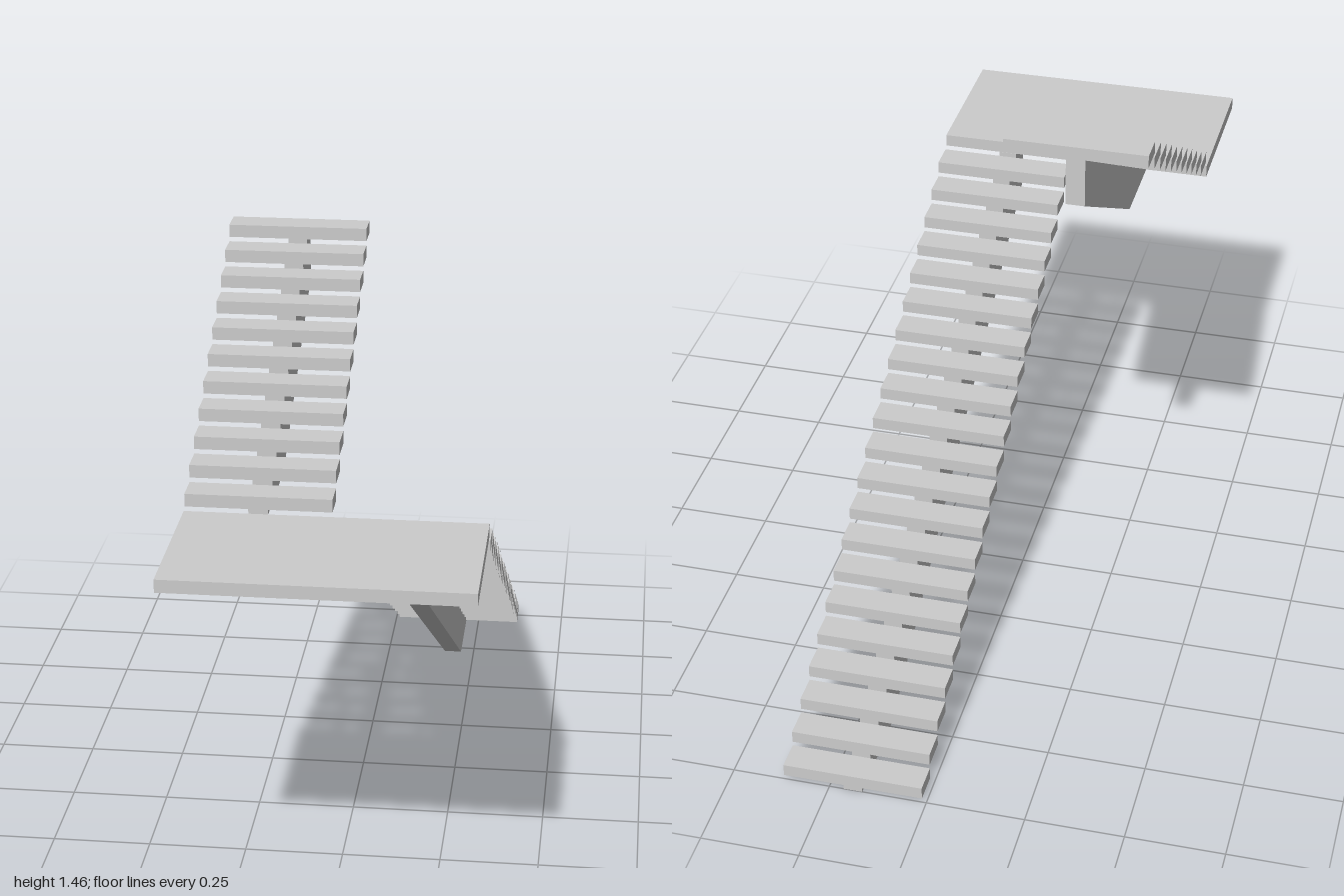
import * as THREE from 'three';

const RISE = 0.0443, GOING = 0.0759, THICK = 0.0325;
const BEAM = 0.048, TREAD_W = 0.357;
const LANDING_Z = 0.595, LANDING_TOP = 0.975;

const material = new THREE.MeshStandardMaterial({ color: 0xcccccc, flatShading: true });

function addBox(parent, name, w, h, d, x, y, z) {
  const mesh = new THREE.Mesh(new THREE.BoxGeometry(w, h, d), material);
  mesh.name = name;
  mesh.position.set(x, y, z);
  parent.add(mesh);
}

// One straight flight: separate treads carried on a central sawtooth beam.
// dir is the z direction of climbing; underside lists [z, y] from top end to foot.
function makeFlight(name, { count, x, beamX, z0, y0, dir, underside }) {
  const flight = new THREE.Group();
  flight.name = name;
  const profile = [];
  for (let i = 0; i < count; i++) {
    const top = y0 + (i + 1) * RISE;
    const back = z0 + dir * i * GOING, front = back + dir * GOING;
    addBox(flight, 'tread', TREAD_W, THICK, GOING, x, top - THICK / 2, (back + front) / 2);
    // Beam edge runs under the tread, then steps up behind it
    profile.push([back, top - THICK], [front, top - THICK]);
  }
  profile.push(...underside);

  const shape = new THREE.Shape(profile.map(([z, y]) => new THREE.Vector2(z, y)));
  const geometry = new THREE.ExtrudeGeometry(shape, { depth: BEAM, bevelEnabled: false });
  geometry.translate(0, 0, -BEAM / 2).rotateY(-Math.PI / 2);
  const beam = new THREE.Mesh(geometry, material);
  beam.name = 'centralStringer';
  beam.position.x = beamX;
  flight.add(beam);
  return flight;
}

export function createModel() {
  const model = new THREE.Group();
  model.name = 'staircase';

  // Lower flight climbs forward; its beam reaches under the landing
  const underLanding = LANDING_TOP - THICK;
  model.add(makeFlight('lowerFlight', {
    count: 21, x: 0.1895, beamX: 0.189, z0: -1, y0: 0, dir: 1,
    underside: [[LANDING_Z - 0.001, underLanding], [0.672, underLanding], [0.672, 0.815], [-0.725, 0], [-1, 0]],
  }));

  // Half-turn landing
  addBox(model, 'landing', 0.735, THICK, 1 - LANDING_Z,
    -0.002, LANDING_TOP - THICK / 2, (1 + LANDING_Z) / 2);

  // Upper flight climbs back from the landing
  model.add(makeFlight('upperFlight', {
    count: 11, x: -0.1885, beamX: -0.189, z0: LANDING_Z, y0: LANDING_TOP, dir: -1,
    underside: [[LANDING_Z - 11 * GOING, 1.303], [0.32, LANDING_TOP], [LANDING_Z, LANDING_TOP]],
  }));

  return model;
}
